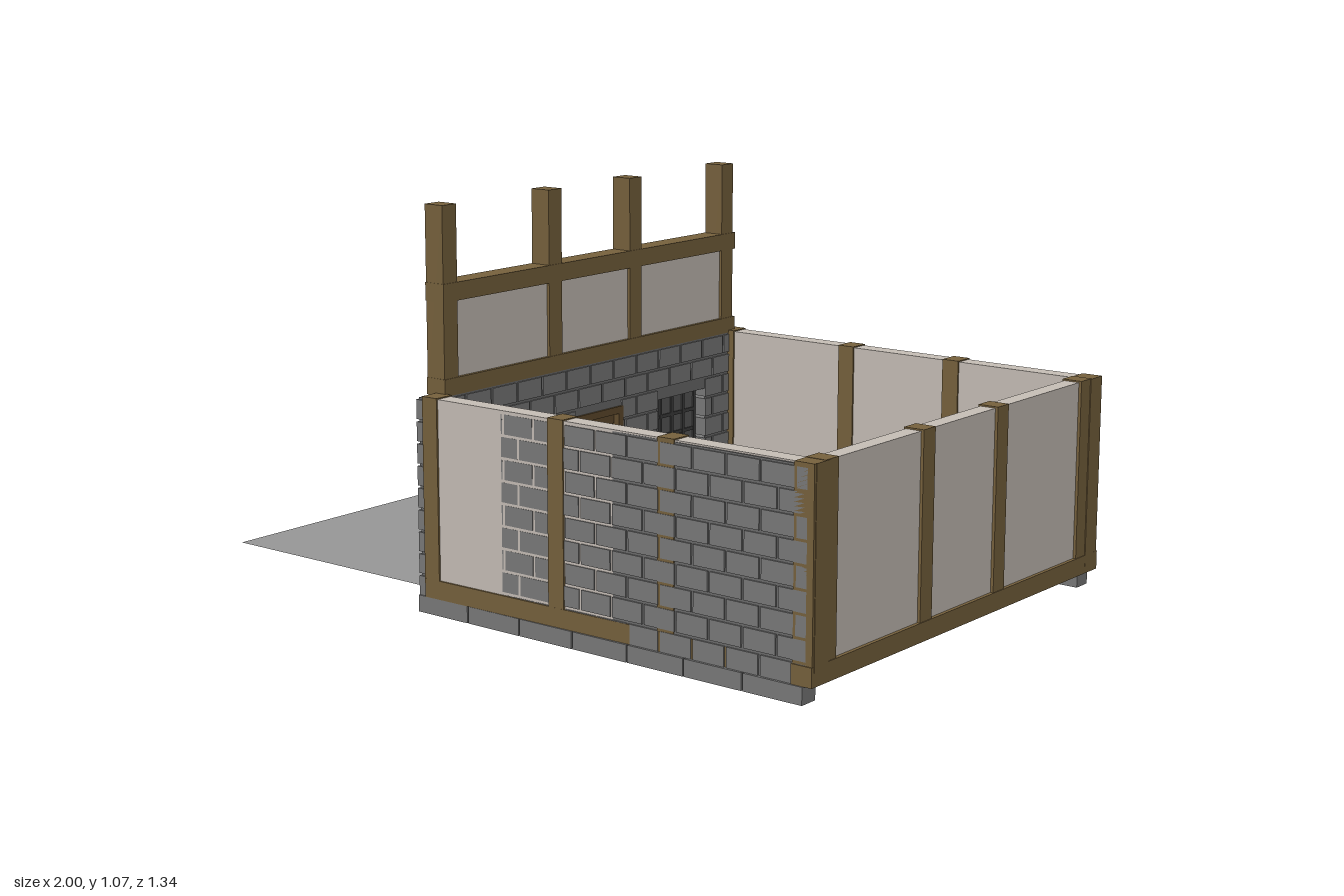
import * as THREE from 'three';

const mat = (color, side = THREE.FrontSide) =>
  new THREE.MeshStandardMaterial({ color, side, flatShading: true, roughness: 0.9 });

export function createModel() {
  const model = new THREE.Group();
  const wood = mat(0x75603c), darkWood = mat(0x5f4a2c), plaster = mat(0xc4bcb4);
  const stone = mat(0x787878), mortar = mat(0x6a6a6a), iron = mat(0x3c3c3c);
  const paving = mat(0x959595, THREE.DoubleSide);

  // Box given by its limits on each axis
  function box(parent, name, material, x0, x1, y0, y1, z0, z1) {
    const m = new THREE.Mesh(new THREE.BoxGeometry(x1 - x0, y1 - y0, z1 - z0), material);
    m.position.set((x0 + x1) / 2, (y0 + y1) / 2, (z0 + z1) / 2);
    m.name = name;
    parent.add(m);
    return m;
  }
  function group(parent, name) {
    const g = new THREE.Group();
    g.name = name;
    parent.add(g);
    return g;
  }

  // Running bond of bricks from u0 to u1, cut around rectangular openings;
  // place(a, b, y0, y1) puts down one brick
  const Y0 = 0.045, Y1 = 0.572, ROWS = 9, GAP = 0.007;
  function bricks(u0, u1, openings, place) {
    const h = (Y1 - Y0) / ROWS, len = 0.1;
    for (let r = 0; r < ROWS; r++) {
      const y0 = Y0 + r * h, y1 = y0 + h - GAP;
      for (let u = u0 - (r % 2) * len / 2; u < u1; u += len) {
        let parts = [[Math.max(u, u0), Math.min(u + len - GAP, u1)]];
        for (const o of openings) {
          if (y1 <= o.y0 + 0.01 || y0 >= o.y1 - 0.01) continue;
          parts = parts.flatMap(([a, b]) => b <= o.u0 || a >= o.u1 ? [[a, b]]
            : [[a, Math.min(b, o.u0)], [Math.max(a, o.u1), b]]);
        }
        for (const [a, b] of parts) if (b - a > 0.006) place(a, b, y0, y1);
      }
    }
  }

  // Floor and the paved yard outside the door
  box(model, 'floor', wood, -0.2, 0.95, 0.047, 0.062, -0.6, 0.59);
  const yard = new THREE.Mesh(new THREE.PlaneGeometry(0.77, 1.21), paving);
  yard.rotation.x = -Math.PI / 2;
  yard.position.set(-0.615, 0.047, -0.005);
  yard.name = 'yard';
  model.add(yard);

  // Two side walls: slightly skewed timber frame behind a straight brick skin
  const postX = [-0.2, 0.22, 0.565, 0.975];
  function sideWall(s, name, face) {
    const wall = group(model, name);
    const frame = group(wall, 'timberFrame');
    frame.position.set(0.375, 0, s * 0.628);
    frame.rotation.y = 0.0125;
    const c = 0.375;
    box(frame, 'plasterPanel', plaster, -0.2 - c, 0.985 - c, 0.05, 0.574, -0.0248, 0.0248);
    box(frame, 'bottomBeam', wood, -0.225 - c, 0.998 - c, 0.045, 0.095, -0.03, 0.03);
    for (const x of postX)
      box(frame, 'post', wood, x - 0.025 - c, x + 0.025 - c, 0.05, 0.577, -0.0298, 0.0298);

    const skin = group(wall, 'brickSkin');
    const layer = (n, m, a, b, y0, y1, inner, outer) =>
      box(skin, n, m, a, b, y0, y1, Math.min(s * inner, s * outer), Math.max(s * inner, s * outer));
    layer('mortar', mortar, -0.246, 0.976, 0.045, 0.57, 0.64, face - 0.0045);
    bricks(-0.25, 0.98, [], (a, b, y0, y1) => layer('brick', stone, a, b, y0, y1, 0.64, face));
    // Foundation stones
    for (let i = 0; i < 7; i++)
      layer('foundationStone', stone, -0.25 + i * 0.1757, -0.254 + (i + 1) * 0.1757, 0, 0.045, 0.61, 0.664);
  }
  sideWall(1, 'frontWall', 0.657);
  sideWall(-1, 'backWall', 0.659);

  // Timber wall opposite the door
  const postZ = [0.585, 0.175, -0.165, -0.585];
  const timberWall = group(model, 'timberWall');
  box(timberWall, 'plasterPanel', plaster, 0.946, 0.99, 0.05, 0.574, -0.64, 0.63);
  box(timberWall, 'bottomBeam', wood, 0.94, 1, 0.045, 0.095, -0.67, 0.66);
  for (const z of postZ)
    box(timberWall, 'post', wood, 0.941, 0.998, 0.05, 0.578, z - 0.026, z + 0.026);
  for (const s of [1, -1]) {
    const z = s > 0 ? 0.632 : -0.64;
    box(timberWall, 'cornerPost', wood, 0.942, 0.999, 0.05, 0.577, z - 0.025, z + 0.025);
  }

  // Entrance wall: core with openings, brick on both faces
  const openings = [
    { u0: -0.1, u1: 0.1, y0: 0.045, y1: 0.43 },
    { u0: -0.48, u1: -0.26, y0: 0.18, y1: 0.42 },
    { u0: 0.26, u1: 0.48, y0: 0.18, y1: 0.42 },
  ];
  const entrance = group(model, 'entranceWall');
  const rect = (p, a, b, y0, y1) => {
    p.moveTo(-a, y0); p.lineTo(-b, y0); p.lineTo(-b, y1); p.lineTo(-a, y1); p.closePath();
    return p;
  };
  const shape = rect(new THREE.Shape(), -0.655, 0.655, 0.045, 0.57);
  for (const o of openings) shape.holes.push(rect(new THREE.Path(), o.u0, o.u1, Math.max(o.y0, 0.047), o.y1));
  const core = new THREE.Mesh(
    new THREE.ExtrudeGeometry(shape, { depth: 0.05, bevelEnabled: false }), mortar);
  core.rotation.y = Math.PI / 2;
  core.position.x = -0.245;
  core.name = 'mortarCore';
  entrance.add(core);
  bricks(-0.66, 0.66, openings, (a, b, y0, y1) =>
    box(entrance, 'brick', stone, -0.25, -0.191, y0, y1, a, b));

  // Barred windows
  for (const o of openings.slice(1)) {
    const win = group(entrance, 'window');
    box(win, 'pane', mat(0x585858), -0.236, -0.232, o.y0, o.y1, o.u0, o.u1);
    for (let i = 0; i <= 4; i++) {
      const z = o.u0 + 0.005 + i * (o.u1 - o.u0 - 0.01) / 4;
      const y = o.y0 + 0.005 + i * (o.y1 - o.y0 - 0.01) / 4;
      box(win, 'uprightBar', iron, -0.242, -0.227, o.y0, o.y1, z - 0.005, z + 0.005);
      box(win, 'crossBar', iron, -0.241, -0.228, y - 0.005, y + 0.005, o.u0, o.u1);
    }
    box(win, 'sill', stone, -0.253, -0.188, o.y0 - 0.012, o.y0 + 0.003, o.u0 - 0.008, o.u1 + 0.008);
  }

  // Door with frame, rails, light and handle
  const door = group(entrance, 'door');
  box(door, 'leaf', wood, -0.235, -0.213, 0.047, 0.42, -0.09, 0.09);
  for (const s of [1, -1])
    box(door, 'jamb', darkWood, -0.252, -0.189, 0.045, 0.43, s * 0.092 - 0.01, s * 0.092 + 0.01);
  box(door, 'lintel', darkWood, -0.252, -0.189, 0.412, 0.432, -0.102, 0.102);
  for (const y of [0.07, 0.2, 0.29, 0.395])
    box(door, 'rail', darkWood, -0.242, -0.206, y - 0.012, y + 0.012, -0.085, 0.085);
  box(door, 'doorLight', plaster, -0.238, -0.21, 0.305, 0.38, -0.05, 0.05);
  const handle = new THREE.Mesh(new THREE.SphereGeometry(0.009, 10, 8), iron);
  handle.position.set(-0.243, 0.235, -0.065);
  handle.name = 'handle';
  door.add(handle);

  // Plain board over the door
  box(entrance, 'signBoard', mat(0x806840), -0.26, -0.248, 0.435, 0.55, -0.145, 0.145);

  // Upper timber frame standing on the entrance wall
  const upper = group(model, 'upperFrame');
  box(upper, 'sillBeam', wood, -0.257, -0.193, 0.57, 0.615, -0.62, 0.612);
  box(upper, 'middleBeam', wood, -0.257, -0.193, 0.815, 0.863, -0.62, 0.612);
  box(upper, 'plasterPanel', plaster, -0.247, -0.203, 0.61, 0.82, -0.59, 0.59);
  for (const z of postZ)
    box(upper, 'post', wood, -0.255, -0.195, 0.572, 1.065, z - 0.026, z + 0.026);

  return model;
}
